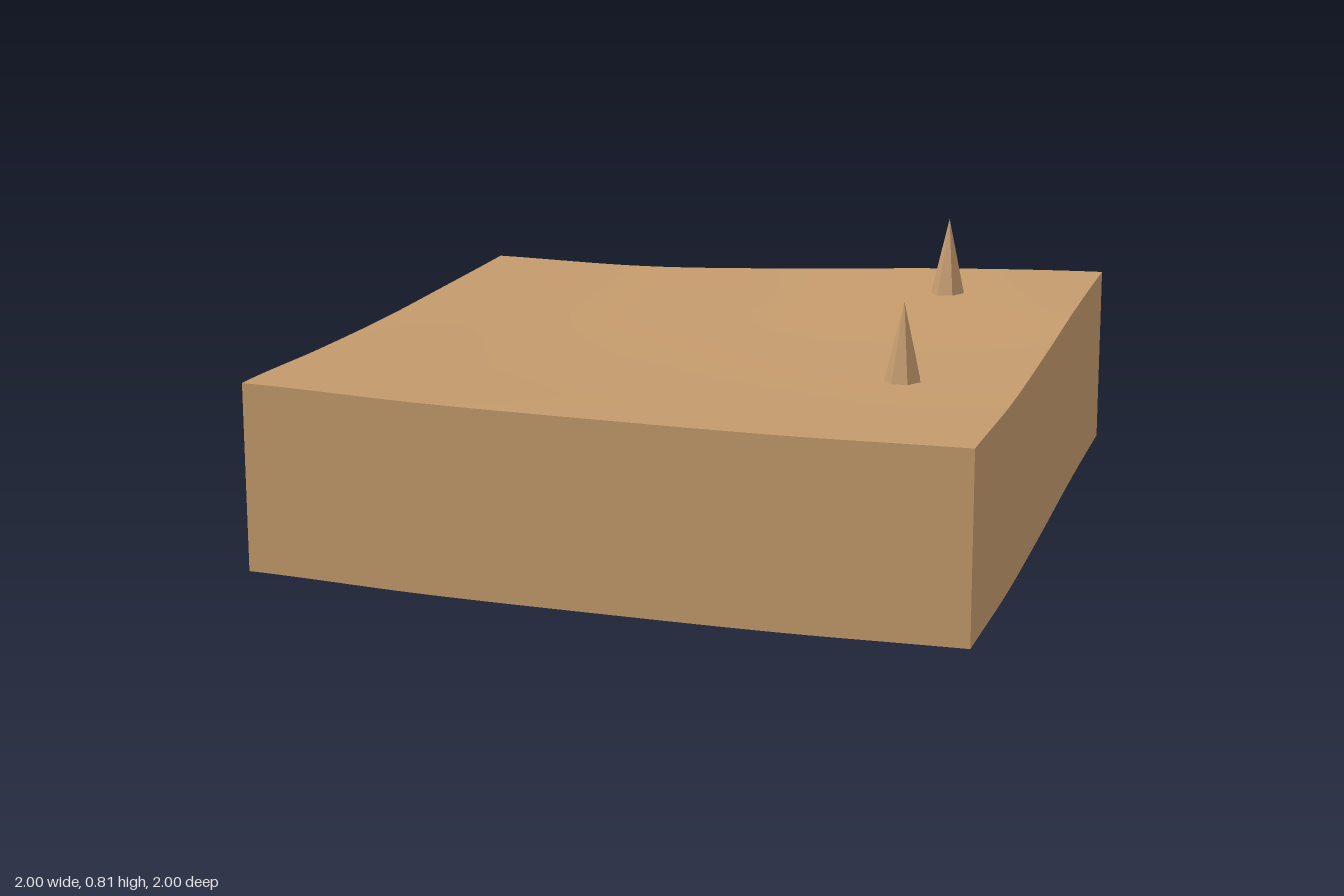
import * as THREE from 'three';

// Edge heights, sampled evenly from -1 to 1
const edge = (...heights) => {
  const curve = new THREE.SplineCurve(heights.map((h, i) => new THREE.Vector2(i / 2 - 1, h)));
  return (t) => curve.getPoint((t + 1) / 2).y;
};
const front = edge(0.59, 0.572, 0.564, 0.56, 0.565);
const back = edge(0.535, 0.53, 0.552, 0.583, 0.602);
const right = edge(0.535, 0.54, 0.547, 0.565, 0.59); // x = -1, from back to front
const left = edge(0.602, 0.592, 0.57, 0.556, 0.565); // x = +1, from back to front

// Ground height blended smoothly between the four edges
function groundHeight(x, z) {
  const u = (x + 1) / 2, v = (z + 1) / 2, mix = THREE.MathUtils.lerp;
  const corners = mix(mix(back(-1), back(1), u), mix(front(-1), front(1), u), v);
  return mix(back(x), front(x), v) + mix(right(z), left(z), u) - corners;
}

const SEGMENTS = 32;
const DEPTH = 0.53;

export function createModel() {
  const model = new THREE.Group();
  model.name = 'terrainTile';
  const earth = new THREE.MeshStandardMaterial({ color: 0xc49a6c });
  earth.name = 'earth';
  earth.side = THREE.DoubleSide;
  const rock = new THREE.MeshStandardMaterial({ color: 0xc49a6c, flatShading: true });
  rock.name = 'spike earth';

  const add = (name, geometry, material) => {
    const mesh = new THREE.Mesh(geometry, material);
    mesh.name = name;
    model.add(mesh);
    return mesh;
  };

  // Gently rolling ground, open underneath
  const ground = new THREE.PlaneGeometry(2, 2, SEGMENTS, SEGMENTS).rotateX(-Math.PI / 2);
  const p = ground.attributes.position;
  for (let i = 0; i < p.count; i++) p.setY(i, groundHeight(p.getX(i), p.getZ(i)));
  ground.computeVertexNormals();
  add('ground', ground, earth);

  // Four skirt walls of constant depth that follow the ground edges
  ['frontWall', 'leftWall', 'backWall', 'rightWall'].forEach((name, side) => {
    const wall = new THREE.PlaneGeometry(2, DEPTH, SEGMENTS, 1);
    wall.translate(0, -DEPTH / 2, 1).rotateY(side * Math.PI / 2);
    const q = wall.attributes.position;
    for (let i = 0; i < q.count; i++) {
      q.setY(i, q.getY(i) + groundHeight(q.getX(i), q.getZ(i)));
    }
    add(name, wall, earth);
  });

  // Two seven-sided spikes standing on the ground
  [[0.58, -0.67, 0.81], [0.665, 0.33, 0.775]].forEach(([x, z, tip], i) => {
    const height = tip - groundHeight(x, z) + 0.004;
    const spike = new THREE.ConeGeometry(0.053, height, 7, 1, true);
    spike.rotateY(Math.PI);
    add(`spike${i + 1}`, spike, rock).position.set(x, tip - height / 2, z);
  });

  return model;
}
